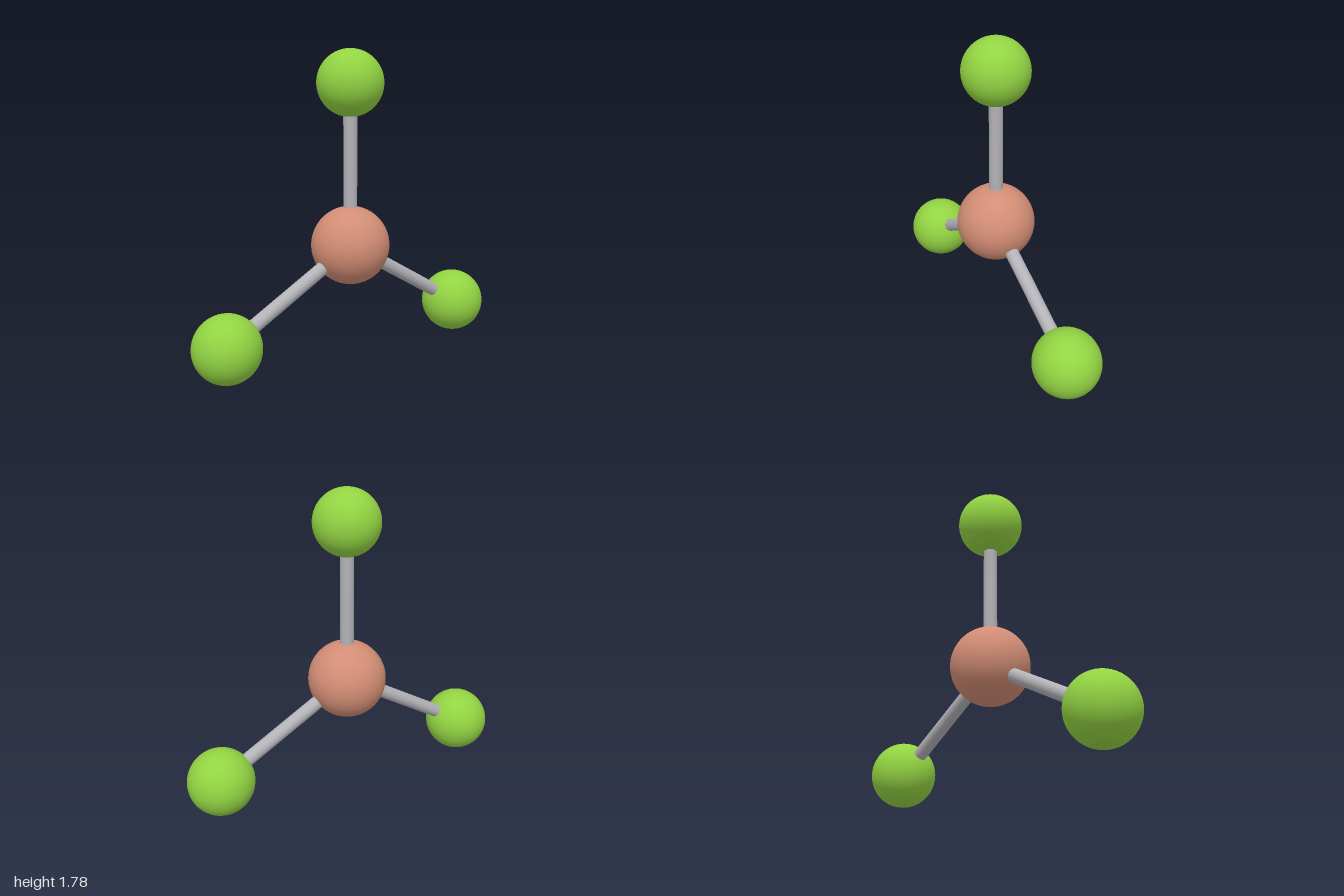
import * as THREE from 'three';

const OUTER_RADIUS = 0.192;
const CENTRE_RADIUS = 0.228;
const ROD_RADIUS = 0.04;
const ROD_LENGTH = (1 - OUTER_RADIUS) / Math.cos(Math.PI / 6); // centre to centre
const CENTRE_Y = OUTER_RADIUS + ROD_LENGTH / 2;

function material(name, color) {
  const m = new THREE.MeshStandardMaterial({ color });
  m.name = name;
  return m;
}

export function createModel() {
  const model = new THREE.Group();
  model.name = 'trigonalMolecule';

  const green = material('green', 0x92d342);
  const copper = material('copper', 0xd28d75);
  const grey = material('grey', 0xb2b2b7);

  // Central atom
  const centre = new THREE.Mesh(new THREE.SphereGeometry(CENTRE_RADIUS, 64, 40), copper);
  centre.name = 'centralAtom';
  centre.position.y = CENTRE_Y;
  model.add(centre);

  // Three identical arms, 120 degrees apart in the x-y plane
  const rodGeometry = new THREE.CylinderGeometry(ROD_RADIUS, ROD_RADIUS, ROD_LENGTH, 32);
  rodGeometry.translate(0, ROD_LENGTH / 2, 0);
  const atomGeometry = new THREE.SphereGeometry(OUTER_RADIUS, 64, 40);

  ['top', 'right', 'left'].forEach((side, i) => {
    const arm = new THREE.Group();
    arm.name = `${side}Arm`;
    arm.position.y = CENTRE_Y;
    arm.rotation.z = (i * Math.PI * 2) / 3;

    const rod = new THREE.Mesh(rodGeometry, grey);
    rod.name = `${side}Bond`;

    const atom = new THREE.Mesh(atomGeometry, green);
    atom.name = `${side}Atom`;
    atom.position.y = ROD_LENGTH;

    arm.add(rod, atom);
    model.add(arm);
  });

  return model;
}
